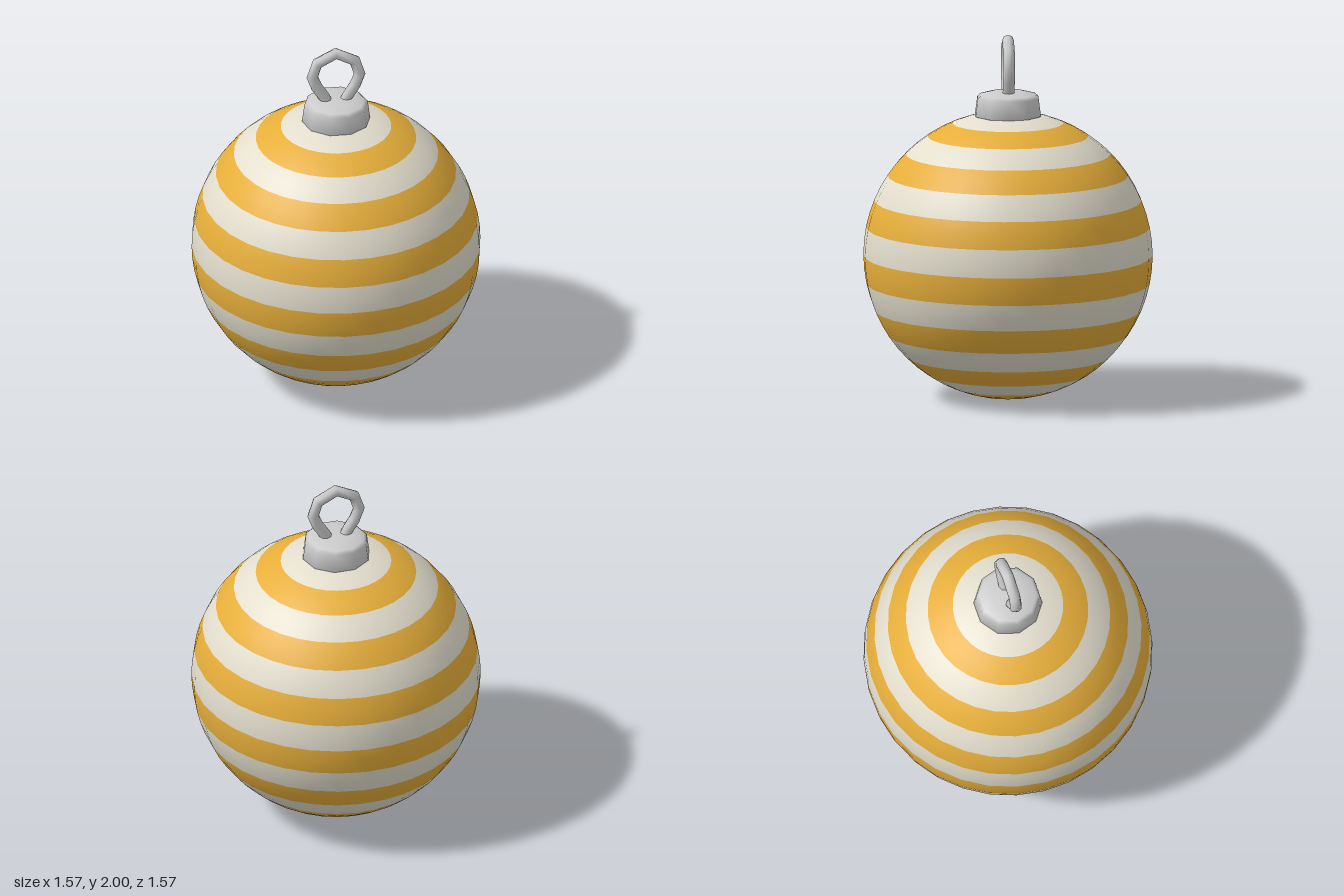
import * as THREE from 'three';
import { mergeGeometries } from 'three/addons/utils/BufferGeometryUtils.js';

const RADIUS = 0.787;
const BANDS = 16;

function part(name, geometry, color) {
  const mesh = new THREE.Mesh(geometry, new THREE.MeshStandardMaterial({ color }));
  mesh.name = name;
  return mesh;
}

// Every second latitude band of the ball, starting at the given one
function stripes(first) {
  const step = Math.PI / BANDS;
  const bands = [];
  for (let i = first; i < BANDS; i += 2) {
    bands.push(new THREE.SphereGeometry(RADIUS, 32, 1, 0, Math.PI * 2, i * step, step));
  }
  return mergeGeometries(bands).translate(0, RADIUS, 0);
}

export function createModel() {
  const group = new THREE.Group();
  group.name = 'bauble';

  // Striped ball
  group.add(part('goldStripes', stripes(0), 0xe6ae3a));
  group.add(part('creamStripes', stripes(1), 0xe3decd));

  // Ten-sided cap with a bevelled top
  const profile = [[0.15, 1.54], [0.187, 1.557], [0.174, 1.655], [0.155, 1.672], [0.09, 1.688], [0, 1.69]]
    .map(([r, y]) => new THREE.Vector2(r, y));
  group.add(part('cap', new THREE.LatheGeometry(profile, 10, THREE.MathUtils.degToRad(24)), 0xcccccc));

  // Pear-shaped hanging loop, with both ends sunk into the cap
  const half = [[0.04, 1.64], [0.064, 1.7], [0.105, 1.765], [0.13, 1.83], [0.103, 1.915]];
  const path = [
    ...half.map(([x, y]) => new THREE.Vector3(-x, y, 0)),
    new THREE.Vector3(0, 1.968, 0),
    ...half.map(([x, y]) => new THREE.Vector3(x, y, 0)).reverse(),
  ];
  const curve = new THREE.CatmullRomCurve3(path);
  curve.getUtoTmapping = (u) => u; // one tube ring at each path point
  const loop = part('hangingLoop', new THREE.TubeGeometry(curve, path.length - 1, 0.032, 8), 0xcccccc);
  loop.rotation.y = -0.5;
  group.add(loop);

  return group;
}
